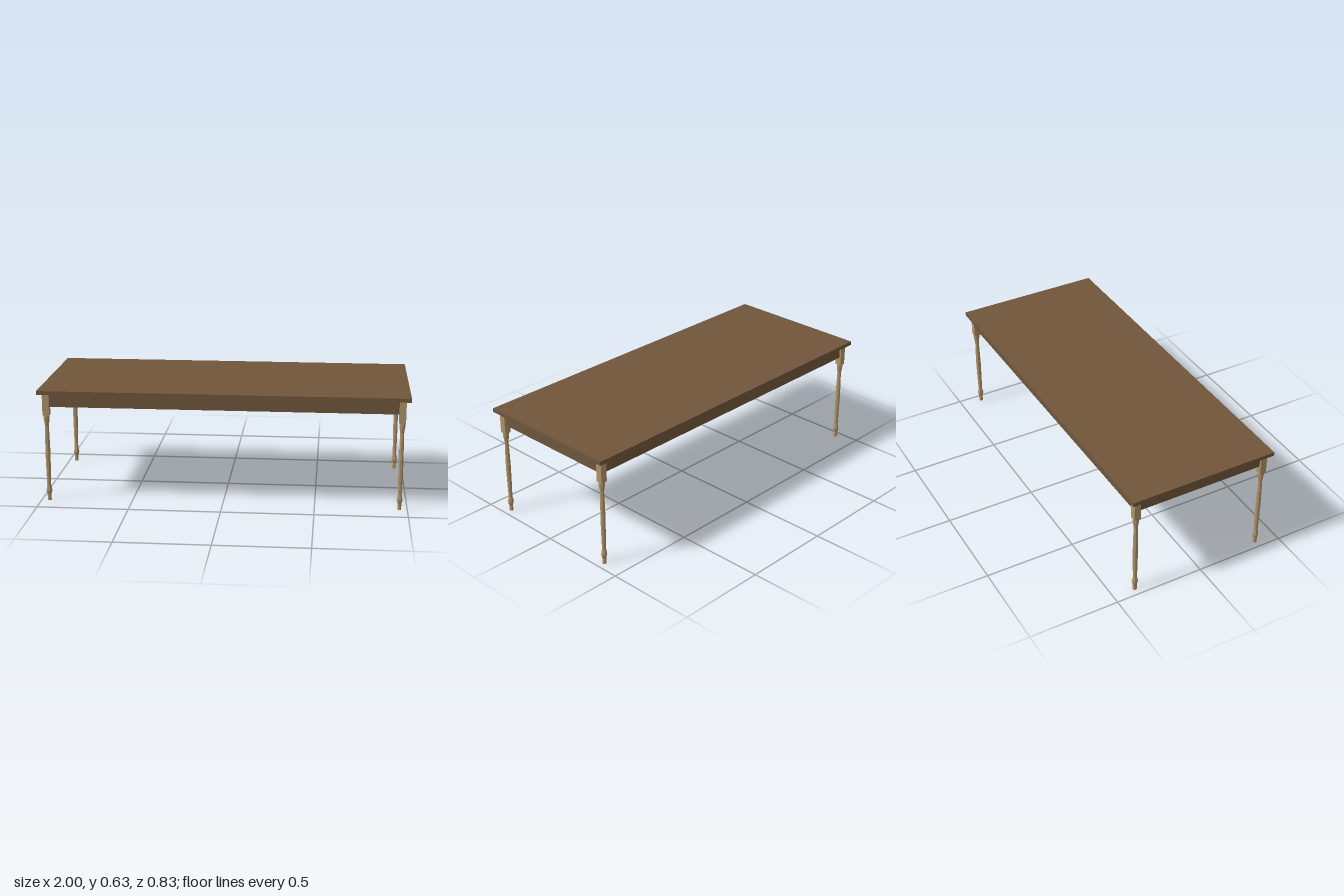
import * as THREE from 'three';

export function createModel() {
  const table = new THREE.Group();
  table.name = 'diningTable';

  const darkWood = new THREE.MeshStandardMaterial({ color: 0x70563b });
  darkWood.name = 'darkWood';
  const paleWood = new THREE.MeshStandardMaterial({ color: 0xb0946a, flatShading: true });
  paleWood.name = 'paleWood';

  function box(name, material, size, position, parent = table) {
    const mesh = new THREE.Mesh(new THREE.BoxGeometry(...size), material);
    mesh.name = name;
    mesh.position.set(...position);
    parent.add(mesh);
    return mesh;
  }

  // Tabletop slab
  const topY = 0.626, underY = 0.605;
  box('tabletop', darkWood, [2, topY - underY, 0.83], [0, (topY + underY) / 2, 0]);

  // Apron boards, slightly recessed between the leg posts
  const legX = 0.957, legZ = 0.374, post = 0.036;
  const apronH = 0.074, apronT = 0.018, apronY = underY - apronH / 2;
  for (const s of [-1, 1]) {
    box(s > 0 ? 'frontApron' : 'backApron', darkWood,
      [2 * legX - post, apronH, apronT], [0, apronY, s * (legZ - 0.002)]);
    box(s > 0 ? 'leftApron' : 'rightApron', darkWood,
      [apronT, apronH, 2 * legZ - post], [s * (legX - 0.002), apronY, 0]);
  }

  // Turned leg profile: foot, ankle bulge, swelling shaft, flared neck
  const profile = [
    [0, 0], [0.0108, 0], [0.0108, 0.032], [0.0168, 0.055], [0.0108, 0.087],
    [0.0125, 0.17], [0.0138, 0.27], [0.0125, 0.35], [0.0108, 0.425],
    [0.0168, 0.465], [0.0172, 0.485], [0, 0.485],
  ].map(([r, y]) => new THREE.Vector2(r, y));
  const turning = new THREE.LatheGeometry(profile, 8, Math.PI / 8);

  // Four legs, each a square post above the turning
  const postBottom = 0.484;
  for (const sx of [-1, 1]) {
    for (const sz of [-1, 1]) {
      const leg = new THREE.Group();
      leg.name = (sz > 0 ? 'front' : 'back') + (sx > 0 ? 'Left' : 'Right') + 'Leg';
      leg.position.set(sx * legX, 0, sz * legZ);
      box('legPost', paleWood, [post, underY - postBottom, post],
        [0, (underY + postBottom) / 2, 0], leg);
      const shaft = new THREE.Mesh(turning, paleWood);
      shaft.name = 'turnedShaft';
      leg.add(shaft);
      table.add(leg);
    }
  }
  return table;
}
